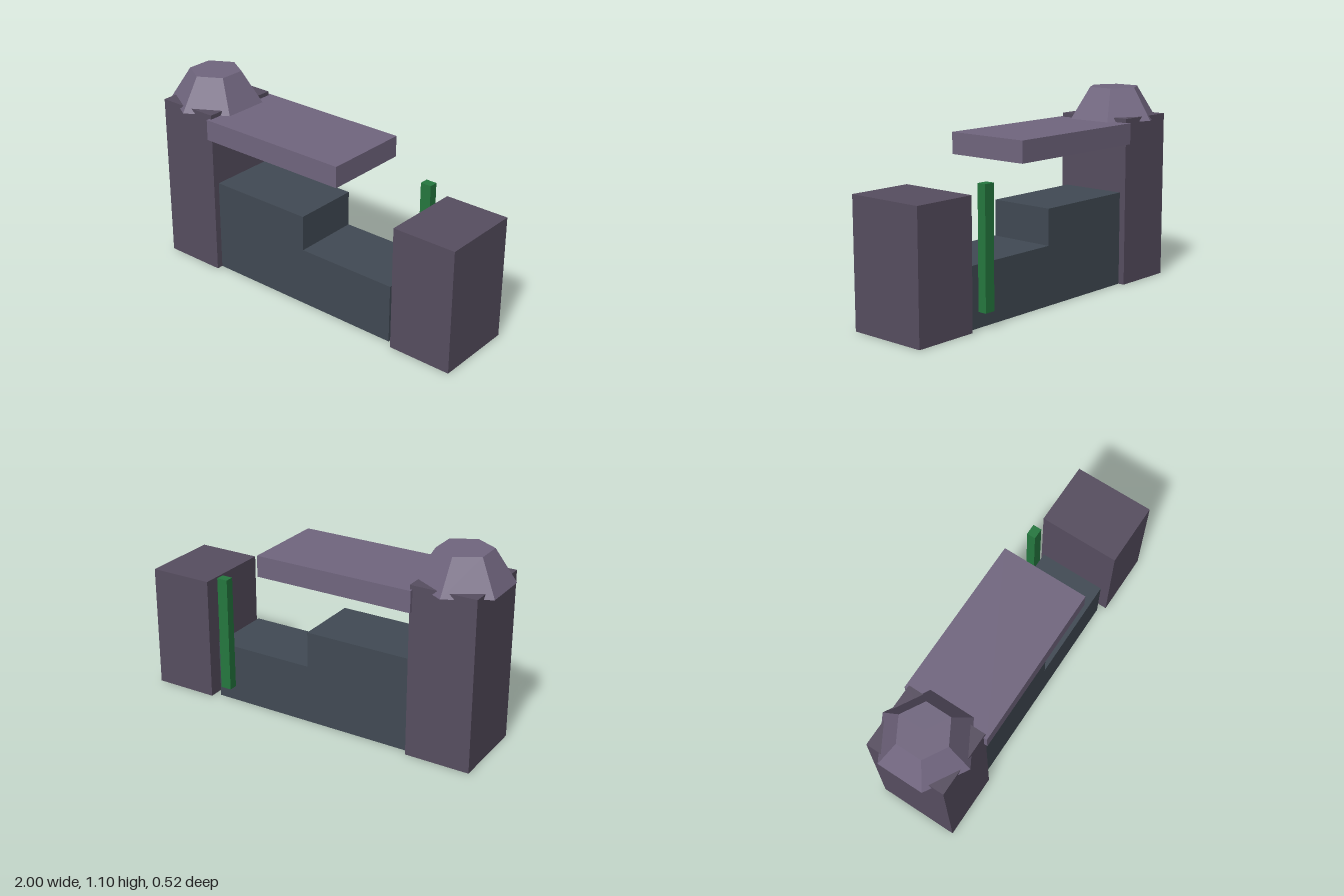
import * as THREE from 'three';

export function createModel() {
  const group = new THREE.Group();
  const mat = (color) => new THREE.MeshStandardMaterial({ color, flatShading: true });
  const stone = mat(0x574e60);
  const violet = mat(0x71667f);
  const slate = mat(0x414a54);
  const green = mat(0x25783f);

  const add = (name, geometry, material) => {
    const mesh = new THREE.Mesh(geometry, material);
    mesh.name = name;
    group.add(mesh);
    return mesh;
  };
  // Box given by its lower and upper limits on each axis
  const box = (name, [x0, x1], [y0, y1], [z0, z1], material) =>
    add(name, new THREE.BoxGeometry(x1 - x0, y1 - y0, z1 - z0), material)
      .position.set((x0 + x1) / 2, (y0 + y1) / 2, (z0 + z1) / 2);

  // End blocks
  box('tallTower', [-0.955, -0.595], [0, 0.942], [-0.226, 0.226], stone);
  box('shortTower', [0.637, 0.998], [0, 0.69], [-0.226, 0.226], stone);

  // Overhanging roof slab
  box('roofSlab', [-0.61, 0.29], [0.802, 0.919], [-0.245, 0.245], violet);

  // Thin post on the back of the base
  box('post', [0.495, 0.557], [0.084, 0.734], [-0.24, -0.19], green);

  // Stepped base, one profile extruded through its depth
  const profile = new THREE.Shape([
    [-0.595, 0], [0.6, 0], [0.6, 0.327], [0.02, 0.327], [0.02, 0.526], [-0.595, 0.526],
  ].map(([x, y]) => new THREE.Vector2(x, y)));
  const base = new THREE.ExtrudeGeometry(profile, { depth: 0.38, bevelEnabled: false });
  add('steppedBase', base.translate(0, 0, -0.19), slate);

  // Six-sided tapered cap with corners toward front and back
  add('towerCap', new THREE.CylinderGeometry(0.145, 0.26, 0.179, 6), violet)
    .position.set(-0.775, 1.0065, 0);

  return group;
}
